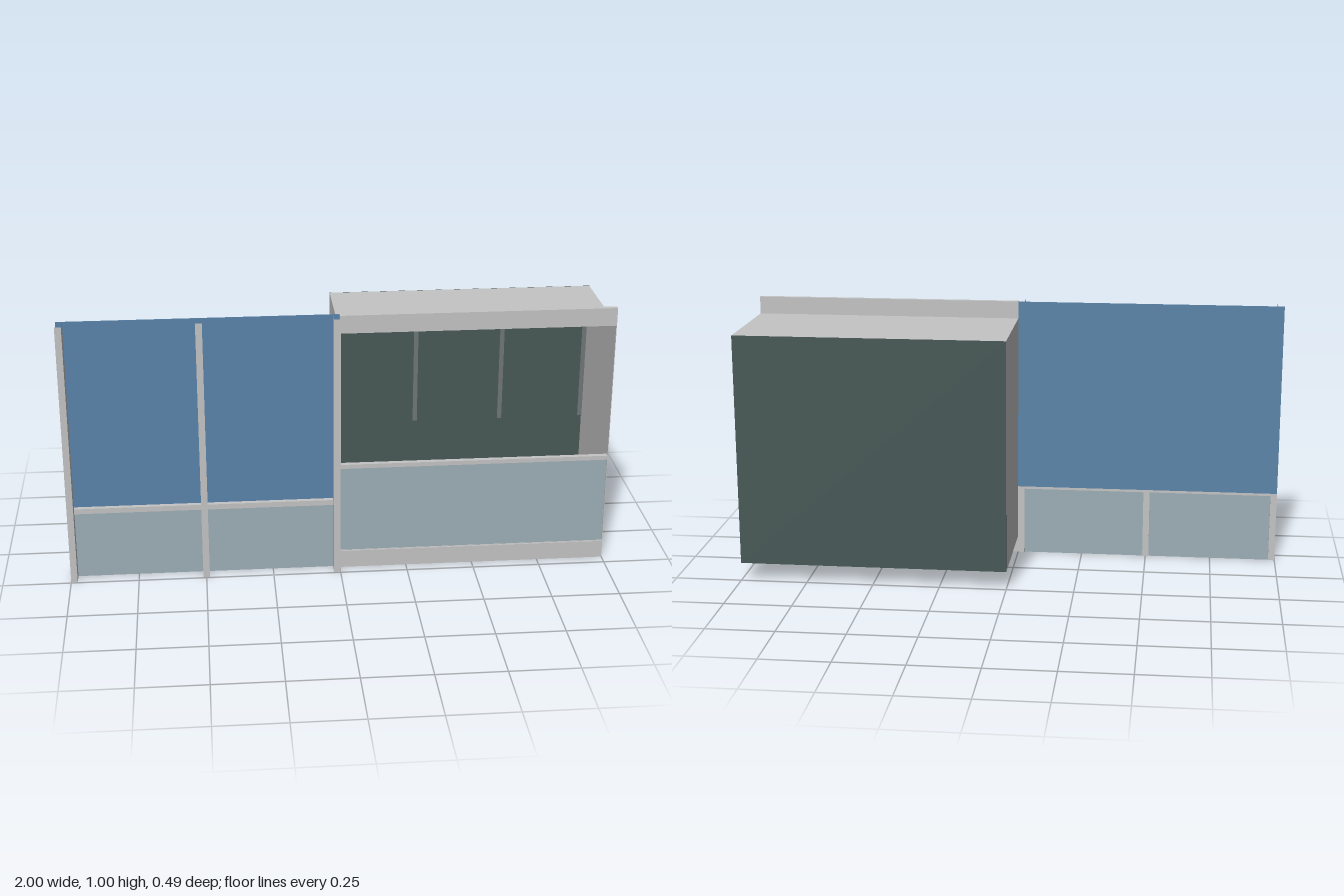
import * as THREE from 'three';

const mat = (name, color) => {
  const m = new THREE.MeshStandardMaterial({ color });
  m.name = name;
  return m;
};

export function createModel() {
  const grey = mat('light grey metal', 0xc4c4c4);
  const frameGrey = mat('frame grey', 0x6f7675);
  const blue = mat('blue glass', 0x5b84aa);
  const pale = mat('pale blue panel', 0x9dafb7);
  const dark = mat('dark green backing', 0x475856);
  const model = new THREE.Group();
  model.name = 'facadeModule';

  // Box given by its extents; openEnds drops the top and bottom faces
  function box(name, material, [x0, x1], [y0, y1], [z0, z1], openEnds = false) {
    const g = new THREE.BoxGeometry(x1 - x0, y1 - y0, z1 - z0);
    if (openEnds) {
      const idx = Array.from(g.index.array);
      g.setIndex([...idx.slice(0, 12), ...idx.slice(24)]);
      g.clearGroups();
    }
    g.translate((x0 + x1) / 2, (y0 + y1) / 2, (z0 + z1) / 2);
    const mesh = new THREE.Mesh(g, material);
    mesh.name = name;
    model.add(mesh);
  }

  const back = 0.188, front = 0.207, rear = -0.245, t = 0.002;

  // Hollow upright mullions of the flat bay
  for (const x of [-1, -0.512, -0.024]) {
    box('mullion', grey, [x, x + 0.024], [0, 1], [back + 0.001, 0.245], true);
  }

  // Blue glazing runs behind the mullions
  box('upperGlazing', blue, [-1, 0], [0.27, 1], [back - 0.001, back + 0.001]);

  // Low panels and sill rails between the mullions
  for (const [a, b] of [[-0.976, -0.512], [-0.488, -0.024]]) {
    box('lowerPanel', pale, [a, b], [0, 0.262], [0.194, 0.198]);
    box('sillRail', grey, [a, b], [0.26, 0.28], [back + 0.001, front]);
  }

  // Projecting box: thin walls, roof, floor and dark rear wall
  const lo = 0.067, hi = 0.935;
  box('roof', grey, [0, 1], [hi - t, hi], [rear + t, front]);
  box('floor', grey, [0, 1], [lo, lo + t], [rear + t, front - 0.005]);
  box('innerSideWall', grey, [0, t], [lo, hi], [rear + t, front - 0.001]);
  box('outerSideWall', grey, [1 - t, 1], [lo, hi], [rear + t, front - 0.001]);
  box('rearWall', dark, [0, 1], [lo, hi], [rear, rear + t]);

  // Window frame lying against the rear wall
  const fz = [rear + t, rear + 0.01];
  for (const x of [0.002, 0.325, 0.66, 0.981]) {
    box('frameUpright', frameGrey, [x, x + 0.017], [0.4, hi - t], fz);
  }
  box('frameHead', frameGrey, [0.002, 0.998], [0.917, hi - t], fz);

  // Front of the box: fascias, parapet panel and its rail
  box('topFascia', grey, [0, 1], [hi, 1], [back, front]);
  box('bottomFascia', grey, [0, 1], [0, lo], [back, front]);
  box('parapetPanel', pale, [t, 1 - t], [lo, 0.406], [0.196, 0.2]);
  box('parapetRail', grey, [0, 1], [0.405, 0.421], [back, front]);

  return model;
}
